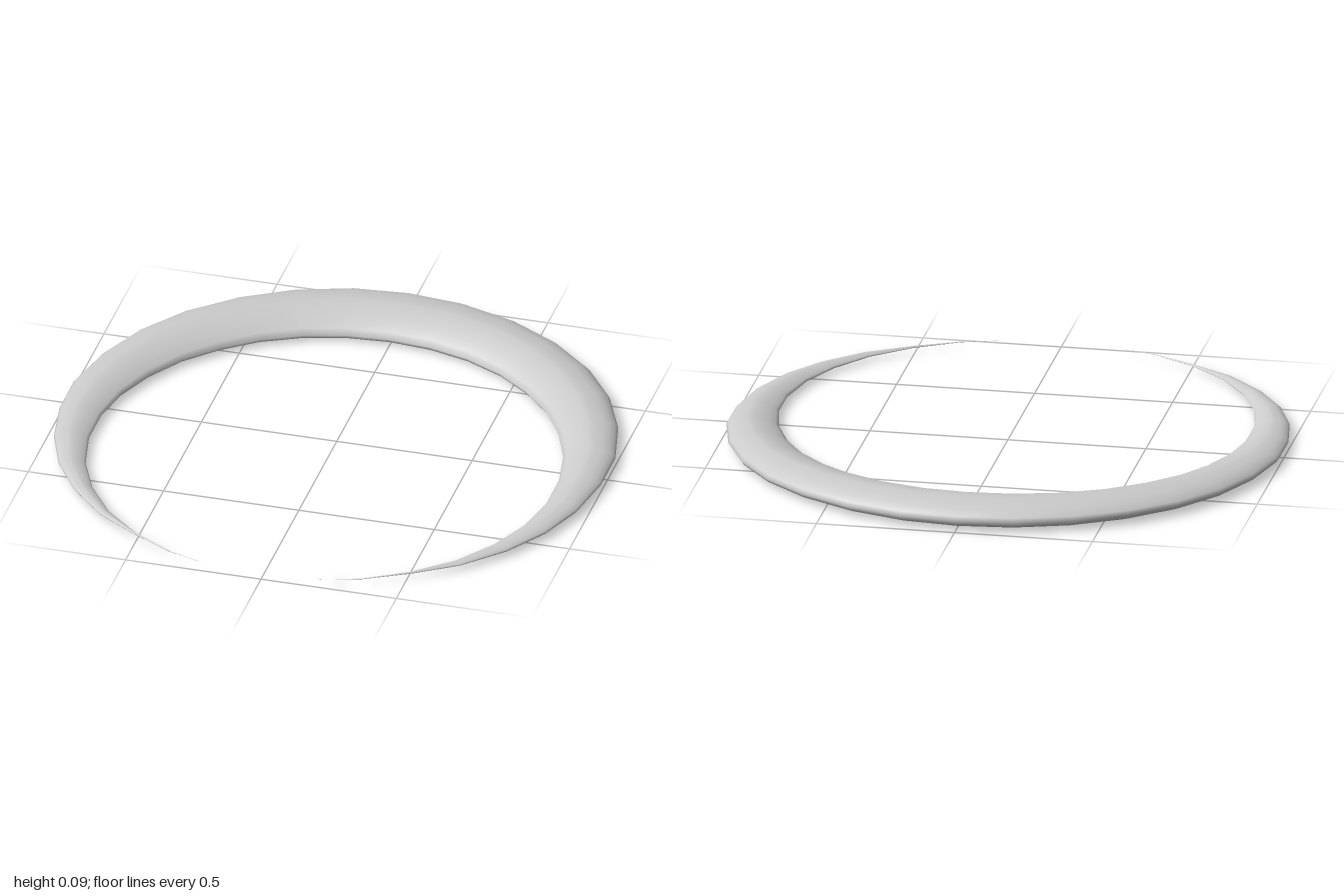
import * as THREE from 'three';

// Half plan of the crescent, from the middle of the back to the tip: [x, z]
const OUTER = [[0, -0.99], [0.205, -0.97], [0.408, -0.905], [0.593, -0.8], [0.747, -0.665],
  [0.868, -0.5], [0.953, -0.31], [1, -0.105], [1, 0.085], [0.967, 0.28], [0.9, 0.455],
  [0.8, 0.61], [0.665, 0.75], [0.51, 0.85], [0.355, 0.933], [0.2, 0.98]];
const INNER = [[0, -0.69], [0.153, -0.677], [0.3, -0.637], [0.44, -0.568], [0.562, -0.475],
  [0.67, -0.362], [0.755, -0.225], [0.815, -0.075], [0.845, 0.085], [0.845, 0.25], [0.81, 0.42],
  [0.742, 0.575], [0.64, 0.72], [0.505, 0.84], [0.353, 0.929], [0.2, 0.98]];

// Cross-section: [fraction from outer to inner edge, fraction of the height]
const SECTION = [[0, 0.42], [0.04, 0.58], [0.13, 0.78], [0.25, 0.91], [0.4, 0.99], [0.5, 1],
  [0.65, 0.9], [0.8, 0.72], [0.93, 0.5], [1, 0.3], [0.97, 0.13], [0.85, 0.05],
  [0.6, 0], [0.35, 0], [0.15, 0.07], [0.04, 0.23]];

function crescentGeometry() {
  const half = OUTER.length - 1, n = SECTION.length;
  const positions = [], index = [];
  for (let k = -half; k <= half; k++) {
    const side = Math.sign(k), [ox, oz] = OUTER[Math.abs(k)], [ix, iz] = INNER[Math.abs(k)];
    // Thickness falls evenly from the back to the tips
    const t = ((oz + iz) / 2 + 0.84) / 1.82;
    const bottom = 0.018 * t, top = 0.091 - 0.073 * t;
    for (const [s, h] of SECTION) {
      positions.push(side * THREE.MathUtils.lerp(ox, ix, s),
        THREE.MathUtils.lerp(bottom, top, h), THREE.MathUtils.lerp(oz, iz, s));
    }
  }
  // Skin between neighbouring sections
  for (let k = 0; k < 2 * half; k++) {
    for (let j = 0; j < n; j++) {
      const a = k * n + j, b = k * n + (j + 1) % n;
      index.push(a, b, a + n, b, b + n, a + n);
    }
  }
  const geometry = new THREE.BufferGeometry();
  geometry.setAttribute('position', new THREE.Float32BufferAttribute(positions, 3));
  geometry.setIndex(index);
  geometry.computeVertexNormals();
  return geometry;
}

export function createModel() {
  const group = new THREE.Group();
  group.name = 'crescentRing';
  const band = new THREE.Mesh(crescentGeometry(), new THREE.MeshStandardMaterial({ color: 0xcccccc }));
  band.name = 'taperedBand';
  group.add(band);
  return group;
}
